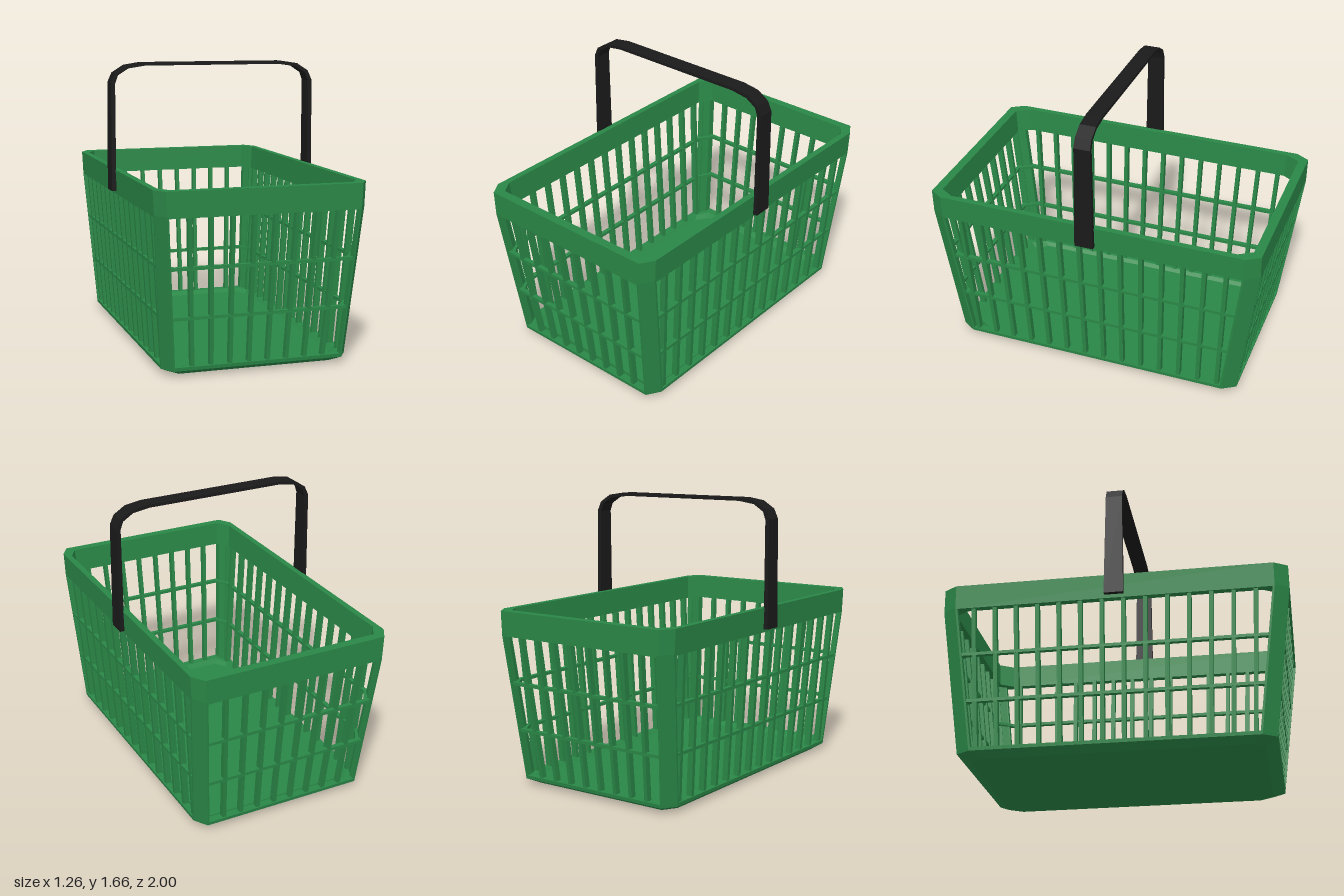
import * as THREE from 'three';

const green = new THREE.MeshStandardMaterial({ color: 0x2a8747, flatShading: true });
const black = new THREE.MeshStandardMaterial({ color: 0x1a1a1a, flatShading: true });

// Skin a list of closed cross-sections, each a loop of [x, y, z] points
function loft(sections) {
  const n = sections[0].length, index = [];
  for (let i = 0; i < sections.length - 1; i++) {
    for (let j = 0; j < n; j++) {
      const k = (j + 1) % n, a = i * n + j, b = i * n + k;
      index.push(a, b, b + n, a, b + n, a + n);
    }
  }
  const geometry = new THREE.BufferGeometry();
  geometry.setAttribute('position', new THREE.Float32BufferAttribute(sections.flat(2), 3));
  geometry.setIndex(index);
  const flat = geometry.toNonIndexed();
  flat.computeVertexNormals();
  return flat;
}

// Rectangle with cut corners, at height y
function octagon([y, hx, hz]) {
  const cx = Math.min(0.05, hx), cz = Math.min(0.08, hz);
  return [[hx, hz - cz], [hx, cz - hz], [hx - cx, -hz], [cx - hx, -hz],
    [-hx, cz - hz], [-hx, hz - cz], [cx - hx, hz], [hx - cx, hz]].map(([x, z]) => [x, y, z]);
}

// Half-width and half-length of the sloping outer wall at height y
function wall(y) {
  const t = (y - 0.035) / 0.855;
  return [0.54 + 0.06 * t, 0.89 + 0.11 * t];
}

function rect(x, y, z, w, d) {
  return [[x + w / 2, y, z + d / 2], [x + w / 2, y, z - d / 2],
    [x - w / 2, y, z - d / 2], [x - w / 2, y, z + d / 2]];
}

export function createModel() {
  const model = new THREE.Group();
  function add(parent, name, geometry, material = green) {
    const mesh = new THREE.Mesh(geometry, material);
    mesh.name = name;
    parent.add(mesh);
    return mesh;
  }

  // Tray-shaped base with a bevelled underside and a low lip
  add(model, 'base', loft([[0, 0, 0], [0, 0.49, 0.82], [0.035, 0.54, 0.89], [0.055, 0.542, 0.893],
    [0.055, 0.5, 0.845], [0.035, 0.48, 0.81], [0.035, 0, 0]].map(octagon)));

  // Deep top rim
  add(model, 'rim', loft([[0.89, 0.6, 1], [1.035, 0.607, 1], [1.035, 0.57, 0.947],
    [0.89, 0.56, 0.935], [0.89, 0.6, 1]].map(octagon)));

  // Angled corner posts
  const posts = new THREE.Group();
  posts.name = 'cornerPosts';
  model.add(posts);
  const postSection = (y) => {
    const [hx, hz] = wall(y);
    return [[0.06, 0], [0.05, 0], [0, 0.08], [0, 0.092],
      [0.035, 0.092], [0.035, 0.085], [0.055, 0.045], [0.06, 0.045]]
      .map(([dx, dz]) => [hx - dx, y, hz - dz]);
  };
  const postGeometry = loft([postSection(0.04), postSection(0.9)]);
  for (const sx of [-1, 1]) {
    for (const sz of [-1, 1]) add(posts, 'cornerPost', postGeometry).scale.set(sx, 1, sz);
  }

  // Upright bars that spread towards the rim
  const bars = new THREE.Group();
  bars.name = 'uprightBars';
  model.add(bars);
  const low = 0.045, high = 0.9, depth = 0.035, inset = 0.026;
  const [lowX, lowZ] = wall(low), [highX, highZ] = wall(high);
  for (const s of [-1, 1]) {
    for (let i = 0; i < 8; i++) {
      const u = (i - 3.5) / 3.5;
      add(bars, 'endBar', loft([
        rect(u * 0.38, low, s * (lowZ - inset), 0.022, depth),
        rect(u * 0.425, high, s * (highZ - inset), 0.022, depth)]));
    }
    for (let i = 0; i < 14; i++) {
      const u = (i - 6.5) / 6.5;
      add(bars, 'sideBar', loft([
        rect(s * (lowX - inset), low, u * 0.775, depth, 0.024),
        rect(s * (highX - inset), high, u * 0.815, depth, 0.024)]));
    }
  }

  // Two thin rails running round the basket
  for (const y of [0.33, 0.61]) {
    const [hx, hz] = wall(y);
    const a = y - 0.009, b = y + 0.009;
    add(model, 'rail', loft([[a, hx - 0.008, hz - 0.008], [b, hx - 0.008, hz - 0.008],
      [b, hx - 0.035, hz - 0.035], [a, hx - 0.035, hz - 0.035],
      [a, hx - 0.008, hz - 0.008]].map(octagon)));
  }

  // Arched carrying handle, extruded from half an outline mirrored in x
  const outer = [[0.63, 0.91], [0.627, 1.545], [0.602, 1.6], [0.532, 1.645], [0.435, 1.66]];
  const inner = [[0.42, 1.642], [0.522, 1.627], [0.585, 1.587], [0.602, 1.54], [0.604, 0.91]];
  const mirror = (points) => points.map(([x, y]) => [-x, y]).reverse();
  const outline = [...outer, ...mirror(outer), ...mirror(inner), ...inner];
  const shape = new THREE.Shape(outline.map(([x, y]) => new THREE.Vector2(x, y)));
  const handle = new THREE.ExtrudeGeometry(shape, { depth: 1, bevelEnabled: false });
  const p = handle.attributes.position;
  for (let i = 0; i < p.count; i++) {
    const width = 0.112 - 0.018 * (p.getY(i) - 0.91) / 0.75;
    p.setZ(i, 0.012 + (p.getZ(i) - 0.5) * width);
  }
  handle.computeVertexNormals();
  add(model, 'handle', handle, black);

  return model;
}
